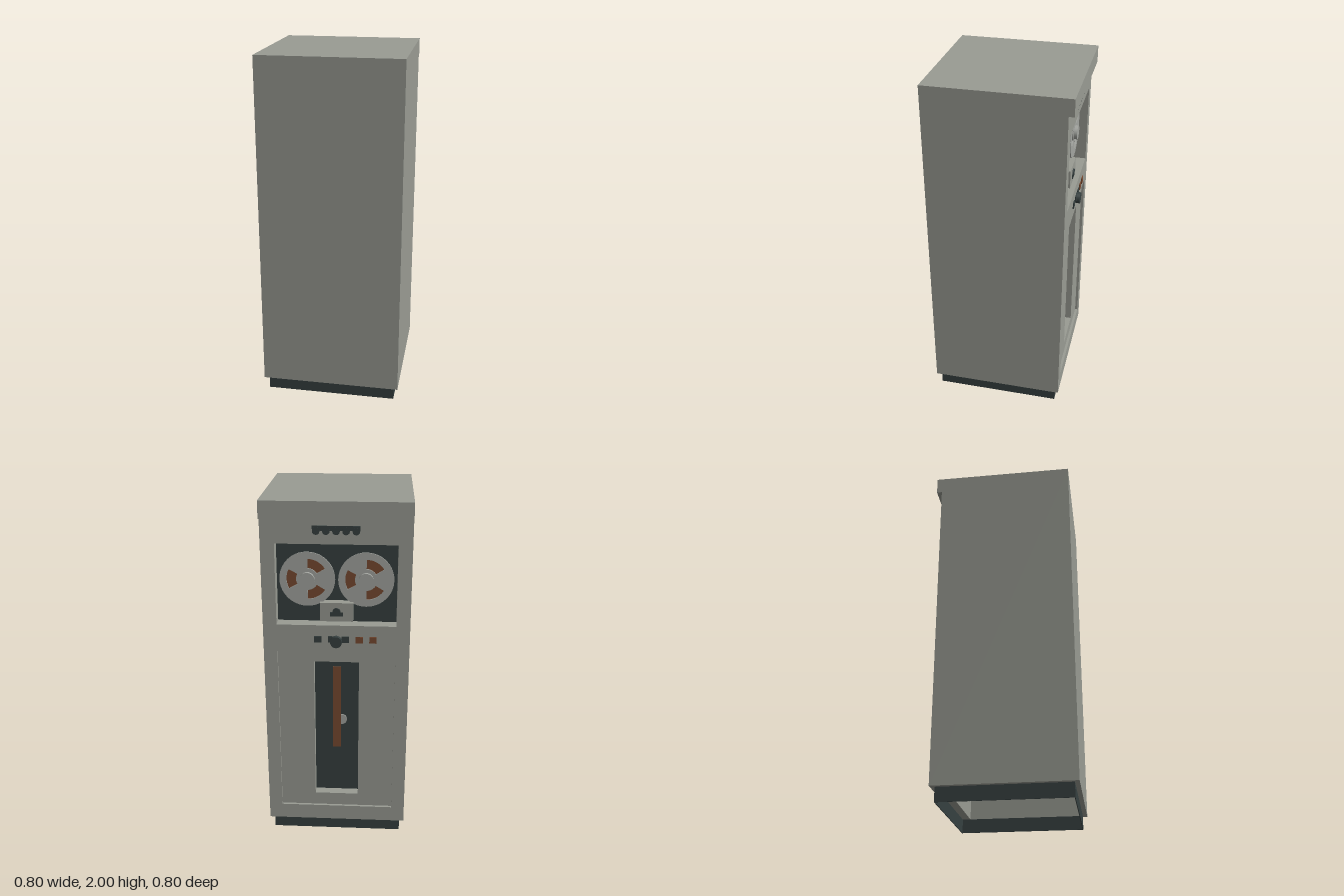
import * as THREE from 'three';

const mat = (name, color, side = THREE.FrontSide) => {
  const m = new THREE.MeshStandardMaterial({ color, side });
  m.name = name;
  return m;
};

export function createModel() {
  const gray = mat('cabinet gray', 0x999b93);
  const dark = mat('dark slate', 0x364040);
  const brown = mat('tape brown', 0x784a30);
  const silver = mat('reel silver', 0xa3a5a0);

  const model = new THREE.Group();
  model.name = 'tapeCabinet';
  // Built with the control face towards +z, then turned to the back
  const unit = new THREE.Group();
  unit.name = 'cabinet';
  unit.rotation.y = Math.PI;
  model.add(unit);

  const add = (name, geo, material, x = 0, y = 0, z = 0, parent = unit) => {
    const m = new THREE.Mesh(geo, material);
    m.name = name;
    m.position.set(x, y, z);
    parent.add(m);
    return m;
  };
  // Box given by its limits on each axis
  const box = (name, material, x0, x1, y0, y1, z0, z1, parent = unit) =>
    add(name, new THREE.BoxGeometry(x1 - x0, y1 - y0, z1 - z0), material,
      (x0 + x1) / 2, (y0 + y1) / 2, (z0 + z1) / 2, parent);
  // Cylinder pointing out of the control face
  const disc = (name, material, r, x, y, z0, z1, parent = unit, sides = 24) =>
    add(name, new THREE.CylinderGeometry(r, r, z1 - z0, sides).rotateX(Math.PI / 2),
      material, x, y, (z0 + z1) / 2, parent);
  const rect = (S, x0, x1, y0, y1) => {
    const s = new S();
    s.moveTo(x0, y0);
    s.lineTo(x1, y0);
    s.lineTo(x1, y1);
    s.lineTo(x0, y1);
    s.closePath();
    return s;
  };
  const panel = (name, outline, holes, z0, z1) => {
    const shape = rect(THREE.Shape, ...outline);
    holes.forEach(h => shape.holes.push(rect(THREE.Path, ...h)));
    add(name, new THREE.ExtrudeGeometry(shape, { depth: z1 - z0, bevelEnabled: false }), gray, 0, 0, z0);
  };

  // Hollow cabinet shell, open underneath
  for (const s of [-1, 1]) {
    add('sideWall', new THREE.BoxGeometry(0.025, 1.92, 0.77), gray, s * 0.3875, 1.04, -0.015);
  }
  box('plainWall', gray, -0.375, 0.375, 0.08, 2, -0.4, -0.375);
  box('top', gray, -0.375, 0.375, 1.975, 2, -0.375, 0.37);
  box('topLip', gray, -0.4, 0.4, 1.905, 2, 0.37, 0.4);

  // Open plinth frame
  for (const s of [-1, 1]) {
    add('plinthSide', new THREE.BoxGeometry(0.004, 0.08, 0.72), dark, s * 0.373, 0.04, -0.015);
    add('plinthEnd', new THREE.BoxGeometry(0.742, 0.08, 0.004), dark, 0, 0.04, -0.015 + s * 0.358);
  }

  // Control face with reel window and recessed door
  const bay = [-0.325, 0.325, 1.32, 1.77];
  const door = [-0.325, 0.325, 0.172, 1.175];
  const column = [-0.125, 0.125, 0.25, 1.1];
  panel('controlFace', [-0.375, 0.375, 0.08, 1.975], [bay, door], 0.295, 0.37);
  panel('door', door, [column], 0.3, 0.355);
  box('reelBayBacking', dark, ...bay, 0.285, 0.295);
  box('columnBacking', dark, ...column, 0.29, 0.302);

  // Tape reels: slotted flange, tape pack and hub
  const flange = new THREE.Shape().absarc(0, 0, 0.15, 0, Math.PI * 2);
  for (let i = 0; i < 3; i++) {
    const a = Math.PI + i * Math.PI * 2 / 3;
    const slot = new THREE.Path();
    slot.absarc(0, 0, 0.112, a - 0.5, a + 0.5, false);
    slot.absarc(0, 0, 0.06, a + 0.5, a - 0.5, true);
    slot.closePath();
    flange.holes.push(slot);
  }
  const flangeGeo = new THREE.ExtrudeGeometry(flange, { depth: 0.008, bevelEnabled: false, curveSegments: 20 });
  for (const s of [-1, 1]) {
    const reel = new THREE.Group();
    reel.name = s < 0 ? 'leftReel' : 'rightReel';
    reel.position.set(s * 0.158, 1.565, 0);
    unit.add(reel);
    disc('tapePack', brown, 0.12, 0, 0, 0.296, 0.312, reel, 36);
    add('flange', flangeGeo, silver, 0, 0, 0.316, reel);
    disc('hub', silver, 0.04, 0, 0, 0.3, 0.342, reel);
  }

  // Read head block
  box('headBlock', gray, -0.09, 0.09, 1.335, 1.44, 0.295, 0.345);
  box('headBase', dark, -0.035, 0.035, 1.365, 1.388, 0.345, 0.35);
  disc('headRoller', dark, 0.022, 0, 1.39, 0.345, 0.352);

  // Indicator strip above the window
  box('indicatorBar', dark, -0.125, 0.125, 1.842, 1.868, 0.37, 0.373);
  for (let i = 0; i < 5; i++) {
    disc('indicator', dark, 0.02, -0.105 + i * 0.0525, 1.84, 0.37, 0.374, unit, 12);
  }

  // Buttons and rotary knob
  for (let i = 0; i < 5; i++) {
    const x = -0.1 + i * 0.075;
    box('button', i < 3 ? dark : brown, x - 0.02, x + 0.02, 1.222, 1.258, 0.37, 0.376);
  }
  disc('knob', dark, 0.032, 0, 1.23, 0.37, 0.395);

  // Tape loop in the vacuum column
  box('tapeStrip', brown, -0.023, 0.023, 0.54, 1.05, 0.302, 0.31);
  disc('columnRoller', silver, 0.032, 0.025, 0.72, 0.302, 0.308);

  return model;
}
